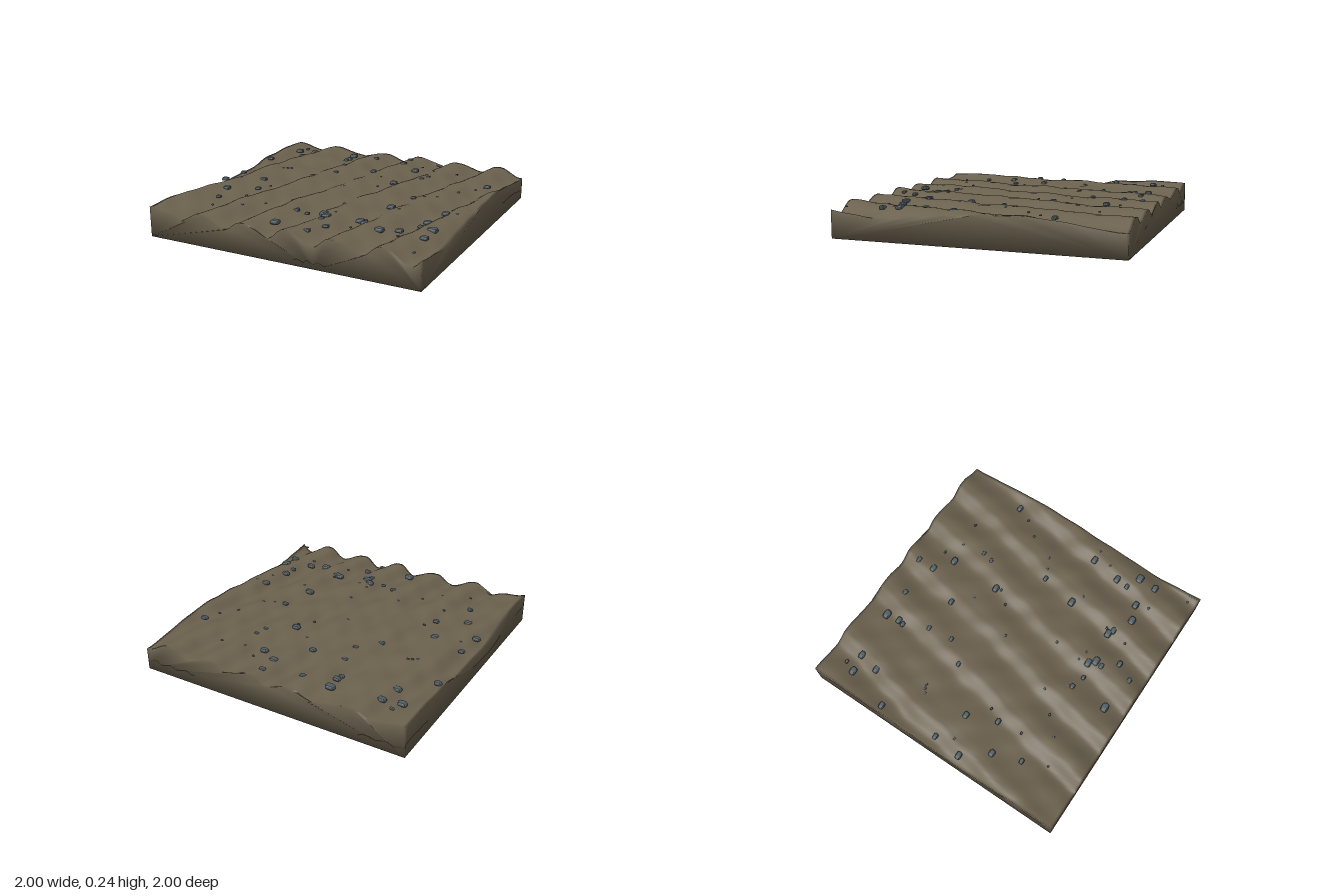
import * as THREE from 'three';
import { RoundedBoxGeometry } from 'three/addons/geometries/RoundedBoxGeometry.js';

const N = 100; // ground cells per side
const { smoothstep } = THREE.MathUtils;

// Lopsided ridges run front to back at a slant: steep on one flank, gentle on the other
function groundHeight(x, z) {
  const slant = x + 0.2 * z;
  const wobble = (0.015 * Math.sin(5 * z + 3 * x) + 0.008 * Math.sin(17 * z - 6 * x)) * (1 - z * z);
  const phase = (slant + 0.11 * smoothstep(-slant, 0.55, 0.8) + wobble - 1.13) / 0.33;
  const t = phase - Math.floor(phase);
  const valley = 1 - smoothstep(t, 0, 0.35) + smoothstep(t, 0.45, 1);
  const edge = 0.45 + 0.55 * Math.max(Math.abs(x), Math.abs(z)) ** 2;
  const depth = 0.064 * edge * (1 + 0.15 * z);
  const ripple = 0.006 * Math.sin(13 * x + 5 * z) * Math.sin(11 * z - 4 * x)
    + 0.004 * Math.sin(27 * x - 7 * z) * Math.sin(17 * z + 3);
  return 0.22 - depth * valley + ripple;
}

// Closed slab with shared vertices, so the shading rolls over the edges
function createGround() {
  const pos = [];
  const index = [];
  const id = (i, j) => j * (N + 1) + i;
  for (let j = 0; j <= N; j++) {
    for (let i = 0; i <= N; i++) {
      const x = (2 * i) / N - 1;
      const z = (2 * j) / N - 1;
      pos.push(x, groundHeight(x, z), z);
    }
  }
  for (let j = 0; j < N; j++) {
    for (let i = 0; i < N; i++) {
      const a = id(i, j), b = id(i, j + 1), c = id(i + 1, j + 1), d = id(i + 1, j);
      index.push(a, b, d, b, c, d);
    }
  }
  // Rim: front, left, back and right edges in order
  const rim = [];
  for (let k = 0; k < N; k++) rim.push(id(k, N));
  for (let k = 0; k < N; k++) rim.push(id(N, N - k));
  for (let k = 0; k < N; k++) rim.push(id(N - k, 0));
  for (let k = 0; k < N; k++) rim.push(id(0, k));
  // Base: a few points placed by the rim step they sit under
  const steps = [0, 0.64, 1, 2, 3, 3.68].map((s) => Math.round(s * N));
  const start = pos.length / 3;
  steps.forEach((k) => pos.push(pos[rim[k] * 3], 0, pos[rim[k] * 3 + 2]));
  // Sides: each rim step reaches down to its nearest base point
  const nearest = (k) => {
    const gap = (s) => Math.min(Math.abs(k + 0.5 - s), 4 * N - Math.abs(k + 0.5 - s));
    return steps.reduce((best, s, n) => (gap(s) < gap(steps[best]) ? n : best), 0);
  };
  rim.forEach((v, k) => {
    const foot = start + nearest(k);
    const previous = start + nearest((k + 4 * N - 1) % (4 * N));
    index.push(foot, rim[(k + 1) % rim.length], v);
    if (foot !== previous) index.push(previous, foot, v);
  });
  // Underside
  for (const [a, b, c] of [[0, 5, 1], [1, 3, 2], [1, 4, 3], [1, 5, 4]]) {
    index.push(start + a, start + b, start + c);
  }

  const geometry = new THREE.BufferGeometry();
  geometry.setAttribute('position', new THREE.Float32BufferAttribute(pos, 3));
  geometry.setIndex(index);
  geometry.computeVertexNormals();
  return geometry;
}

// Rocks: x, z, width
const ROCKS = [
  [-0.83, -0.85, 0.03], [-0.86, -0.77, 0.06], [-0.73, -0.79, 0.055], [-0.38, -0.83, 0.065],
  [-0.17, -0.82, 0.045], [0.1, -0.89, 0.045], [0.1, -0.76, 0.055], [-0.37, -0.73, 0.05],
  [-0.38, -0.69, 0.04], [-0.76, -0.64, 0.055], [0.24, -0.67, 0.055], [-0.95, -0.45, 0.05],
  [-0.3, -0.51, 0.04], [-0.04, -0.5, 0.045], [0.41, -0.52, 0.035], [0.39, -0.44, 0.035],
  [0.88, -0.51, 0.05], [-0.28, -0.33, 0.04], [0.23, -0.29, 0.055], [-0.4, -0.18, 0.04],
  [0.5, -0.03, 0.04], [-0.92, -0.01, 0.045], [-0.68, 0.08, 0.055], [-0.94, 0.2, 0.055],
  [0.45, 0.23, 0.06], [0.83, 0.19, 0.055], [-0.59, 0.29, 0.045], [-0.8, 0.38, 0.055],
  [0.79, 0.41, 0.055], [0.78, 0.5, 0.04], [0.88, 0.55, 0.07], [-0.73, 0.58, 0.04],
  [-0.09, 0.58, 0.045], [0.12, 0.58, 0.06], [0.39, 0.58, 0.06], [0.43, 0.6, 0.05],
  [0.16, 0.62, 0.065], [0.01, 0.61, 0.035], [0.15, 0.67, 0.045], [0.69, 0.63, 0.055],
  [0.57, 0.67, 0.065], [0.88, 0.68, 0.055], [0.24, 0.77, 0.045], [-0.09, 0.85, 0.065],
  [0.17, 0.89, 0.045],
];

// Pebbles: x, z
const PEBBLES = [
  [0.26, -0.77], [0.39, -0.69], [0.57, -0.71], [0.83, -0.4], [0.08, -0.38], [0.24, -0.25],
  [0.74, -0.29], [-0.71, -0.25], [-0.65, -0.28], [-0.68, -0.27], [0.16, -0.16], [0.65, -0.1],
  [0.57, -0.06], [-0.04, -0.02], [-0.86, 0.11], [-0.54, 0.2], [0.91, 0.19], [0.85, 0.31],
  [0.13, 0.31], [0.53, 0.28], [-0.21, 0.43], [-0.57, 0.47], [0.11, 0.51], [0.18, 0.53],
  [0.42, 0.55], [-0.1, 0.55], [-0.35, 0.56], [0.39, 0.72], [0.72, 0.72], [-0.47, 0.67],
  [-0.66, 0.75], [0.92, 0.93],
];

export function createModel() {
  const model = new THREE.Group();
  model.name = 'rockyGround';

  const ground = new THREE.Mesh(createGround(), new THREE.MeshStandardMaterial({ color: 0x6b614e }));
  ground.name = 'ground';
  model.add(ground);

  // Blunt-edged stones narrowing toward the top, resting near ridge height
  const stone = new RoundedBoxGeometry(1, 1, 1, 1, 0.28);
  const p = stone.attributes.position;
  for (let i = 0; i < p.count; i++) {
    const y = p.getY(i);
    const taper = 1 - 0.2 * (y + 0.5);
    p.setXYZ(i, p.getX(i) * taper + 0.1 * y, y, p.getZ(i) * taper);
  }
  const stoneMaterial = new THREE.MeshStandardMaterial({ color: 0x515e64, flatShading: true });
  const addStones = (name, list) => {
    const group = new THREE.Group();
    group.name = name;
    for (const [x, z, w = 0.02] of list) {
      const mesh = new THREE.Mesh(stone, stoneMaterial);
      mesh.name = name.slice(0, -1);
      mesh.scale.set(w * 1.08, w * 0.48, w * 0.82);
      mesh.position.set(x, Math.max(0.208, groundHeight(x, z) - 0.002), z);
      group.add(mesh);
    }
    model.add(group);
  };
  addStones('rocks', ROCKS);
  addStones('pebbles', PEBBLES);
  return model;
}
